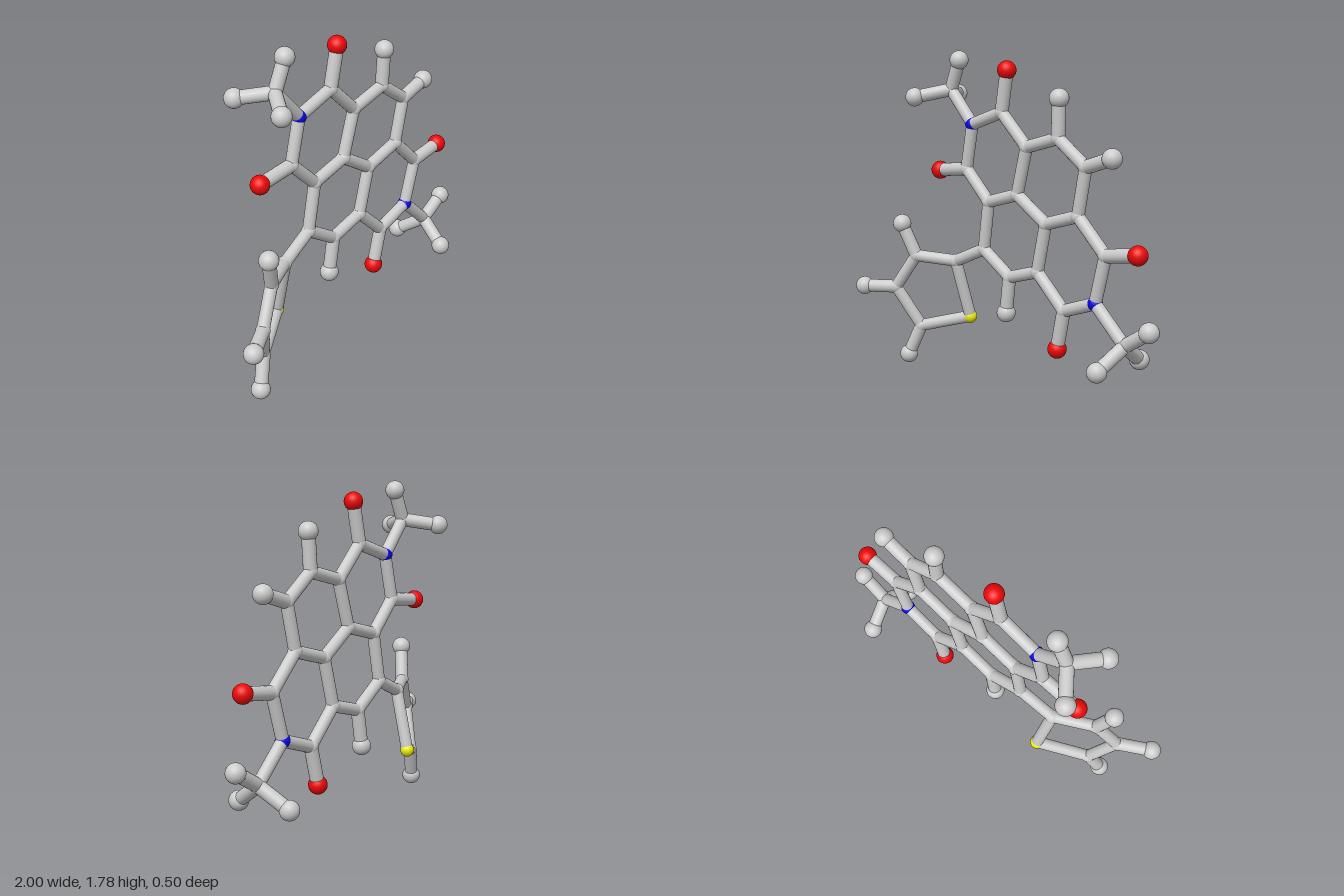
import * as THREE from 'three';

const material = (color) => new THREE.MeshStandardMaterial({ color });
const grey = material(0xcccccc);
const KINDS = {
  C: { name: 'carbonJoint', radius: 0.038, mat: grey },
  H: { name: 'hydrogenBall', radius: 0.051, mat: grey },
  O: { name: 'oxygenBall', radius: 0.05, mat: material(0xee0808) },
  N: { name: 'nitrogenJoint', radius: 0.039, mat: material(0x0808e0) },
  S: { name: 'sulfurJoint', radius: 0.038, mat: material(0xeeee08) },
};

// Atom positions; the fused rings lie on one slightly tilted plane
const flat = (x, y) => [x, y, -0.054 + 0.047 * x + 0.022 * y];
const ATOMS = {
  // upper left imide ring
  N1: flat(-0.3, 1.39), C1: flat(-0.065, 1.465), O1: flat(-0.02, 1.685),
  C2: flat(-0.355, 1.145), O2: flat(-0.58, 1.12),
  // fused core
  C3: flat(0.12, 1.295), C4: flat(0.045, 1.04), C5: flat(-0.18, 0.98),
  C6: flat(0.35, 1.355), H6: flat(0.36, 1.555),
  C7: flat(0.54, 1.225), H7: flat(0.715, 1.28),
  C8: flat(0.485, 0.975), C9: flat(0.255, 0.91), C10: flat(0.19, 0.65),
  C11: flat(-0.025, 0.59), H11: flat(-0.055, 0.39), C12: flat(-0.225, 0.715),
  // lower right imide ring
  C13: flat(0.67, 0.8), O3: flat(0.88, 0.83), N2: flat(0.6, 0.55),
  C14: flat(0.38, 0.475), O4: flat(0.33, 0.265),
  // methyl groups
  C15: flat(-0.47, 1.57), H15a: [-0.4, 1.73, -0.035],
  H15b: [-0.6, 1.53, 0.11], H15c: [-0.585, 1.54, -0.2],
  C16: flat(0.795, 0.37), H16a: [0.95, 0.465, 0],
  H16b: [0.75, 0.26, 0.145], H16c: [0.76, 0.265, -0.17],
  // twisted five-sided ring
  C17: [-0.435, 0.625, -0.035], C18: [-0.655, 0.64, 0.065], H18: [-0.72, 0.82, 0.11],
  C19: [-0.78, 0.45, 0.11], H19: [-0.95, 0.445, 0.2],
  C20: [-0.675, 0.225, 0.015], H20: [-0.745, 0.053, 0.05], S1: [-0.41, 0.3, -0.12],
};

// Chains of bonded atoms
const CHAINS = [
  'N1 C1 C3 C4 C5 C2 N1', 'C3 C6 C7 C8 C9 C4', 'C9 C10 C11 C12 C5',
  'C8 C13 N2 C14 C10', 'C12 C17 C18 C19 C20 S1 C17',
  'N1 C15 H15a', 'H15b C15 H15c', 'N2 C16 H16a', 'H16b C16 H16c',
  'C1 O1', 'C2 O2', 'C13 O3', 'C14 O4',
  'C6 H6', 'C7 H7', 'C11 H11', 'C18 H18', 'C19 H19', 'C20 H20',
];

function makeBond(from, to, radius) {
  const a = new THREE.Vector3(...from);
  const dir = new THREE.Vector3(...to).sub(a);
  const bond = new THREE.Mesh(new THREE.CylinderGeometry(radius, radius, dir.length(), 20), grey);
  bond.name = 'bond';
  bond.position.copy(a).addScaledVector(dir, 0.5);
  bond.quaternion.setFromUnitVectors(new THREE.Vector3(0, 1, 0), dir.normalize());
  return bond;
}

export function createModel() {
  const model = new THREE.Group();
  model.name = 'molecule';

  const atoms = new THREE.Group();
  atoms.name = 'atoms';
  for (const [id, position] of Object.entries(ATOMS)) {
    const { name, radius, mat } = KINDS[id[0]];
    const ball = new THREE.Mesh(new THREE.SphereGeometry(radius, 24, 16), mat);
    ball.name = name;
    ball.position.set(...position);
    atoms.add(ball);
  }

  const bonds = new THREE.Group();
  bonds.name = 'bonds';
  for (const chain of CHAINS) {
    const ids = chain.split(' ');
    for (let i = 1; i < ids.length; i++) {
      const isTip = /[HO]/.test(ids[i - 1] + ids[i]);
      bonds.add(makeBond(ATOMS[ids[i - 1]], ATOMS[ids[i]], isTip ? 0.036 : 0.033));
    }
  }

  model.add(atoms, bonds);
  return model;
}
